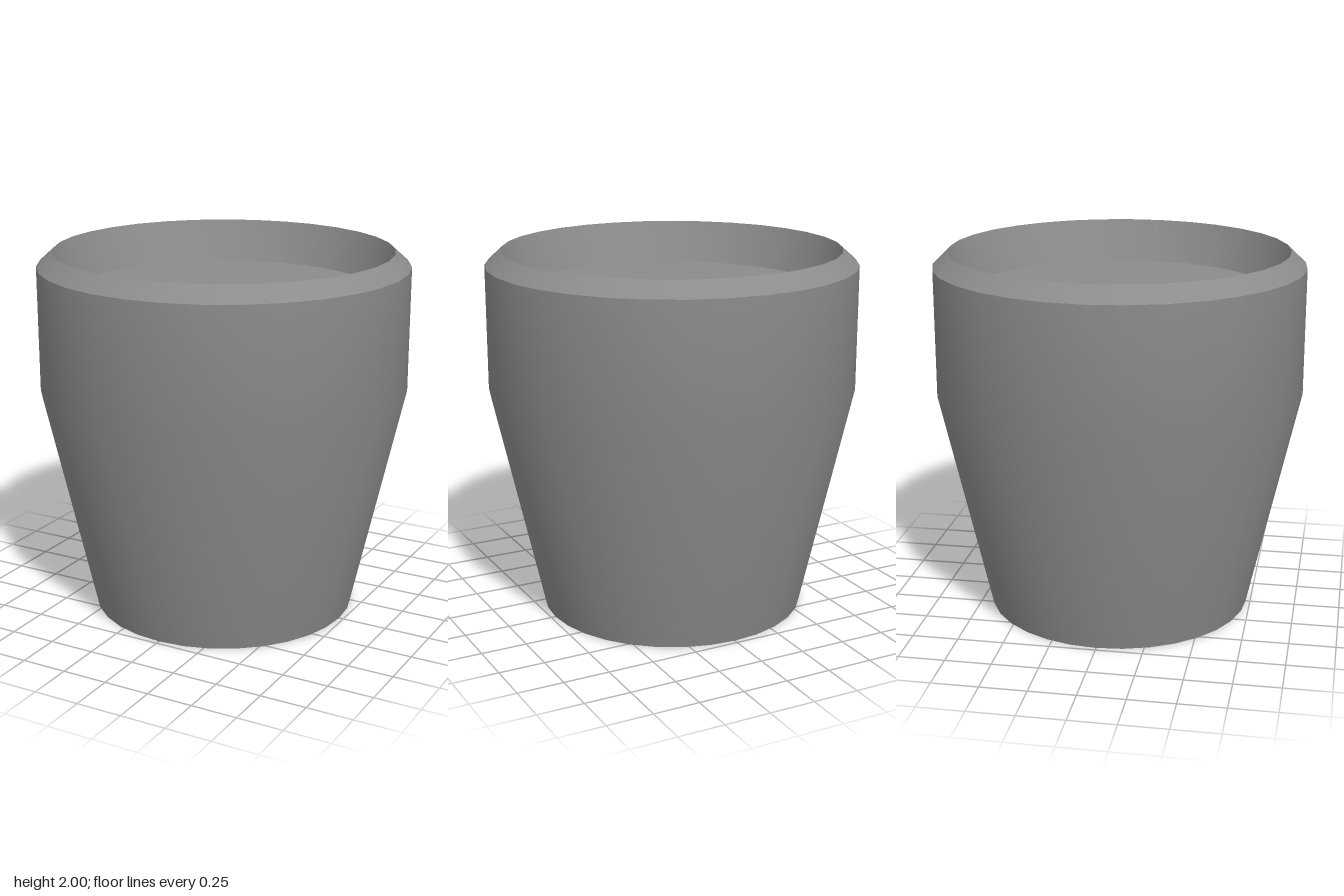
import * as THREE from 'three';

const SIDES = 32;
const STEP = (Math.PI * 2) / SIDES;

// Smooth skin over rings of [radius, height, turn in steps]; rising rings face outward
function loft(rings) {
  const pos = [], index = [];
  rings.forEach(([r, y, turn = 0], i) => {
    for (let j = 0; j < SIDES; j++) {
      const a = (j + turn) * STEP;
      pos.push(Math.sin(a) * r, y, Math.cos(a) * r);
      if (i === rings.length - 1) continue;
      const k = (j + 1) % SIDES, lo = i * SIDES, hi = lo + SIDES;
      index.push(lo + j, lo + k, hi + j, lo + k, hi + k, hi + j);
    }
  });
  const g = new THREE.BufferGeometry();
  g.setAttribute('position', new THREE.Float32BufferAttribute(pos, 3));
  g.setIndex(index);
  g.computeVertexNormals();
  return g;
}

// Horizontal disc facing up (or down)
function disc(r, y, turn, up) {
  return new THREE.CircleGeometry(r, SIDES, turn * STEP)
    .rotateX(up ? -Math.PI / 2 : Math.PI / 2)
    .translate(0, y, 0);
}

export function createModel() {
  const group = new THREE.Group();
  const grey = new THREE.MeshStandardMaterial({ color: 0x8c8c8c });
  grey.name = 'grey';
  const add = (name, geometry) => {
    const mesh = new THREE.Mesh(geometry, grey);
    mesh.name = name;
    group.add(mesh);
  };

  const shoulder = [1, 1.92];
  const lip = [0.914, 2, 0.5];
  const inside = [0.834, 1.77, 0.5];

  // Tapered body with a straight upper band
  add('outerWall', loft([[0.725, 0], [1, 1.24], shoulder]));
  // Bevelled rim, turned half a step at the lip
  add('rim', loft([shoulder, lip]));
  // Recess and its floor
  add('innerWall', loft([lip, inside]));
  add('recessFloor', disc(inside[0], inside[1], 0.5, true));
  add('base', disc(0.725, 0, 0, false));
  return group;
}
